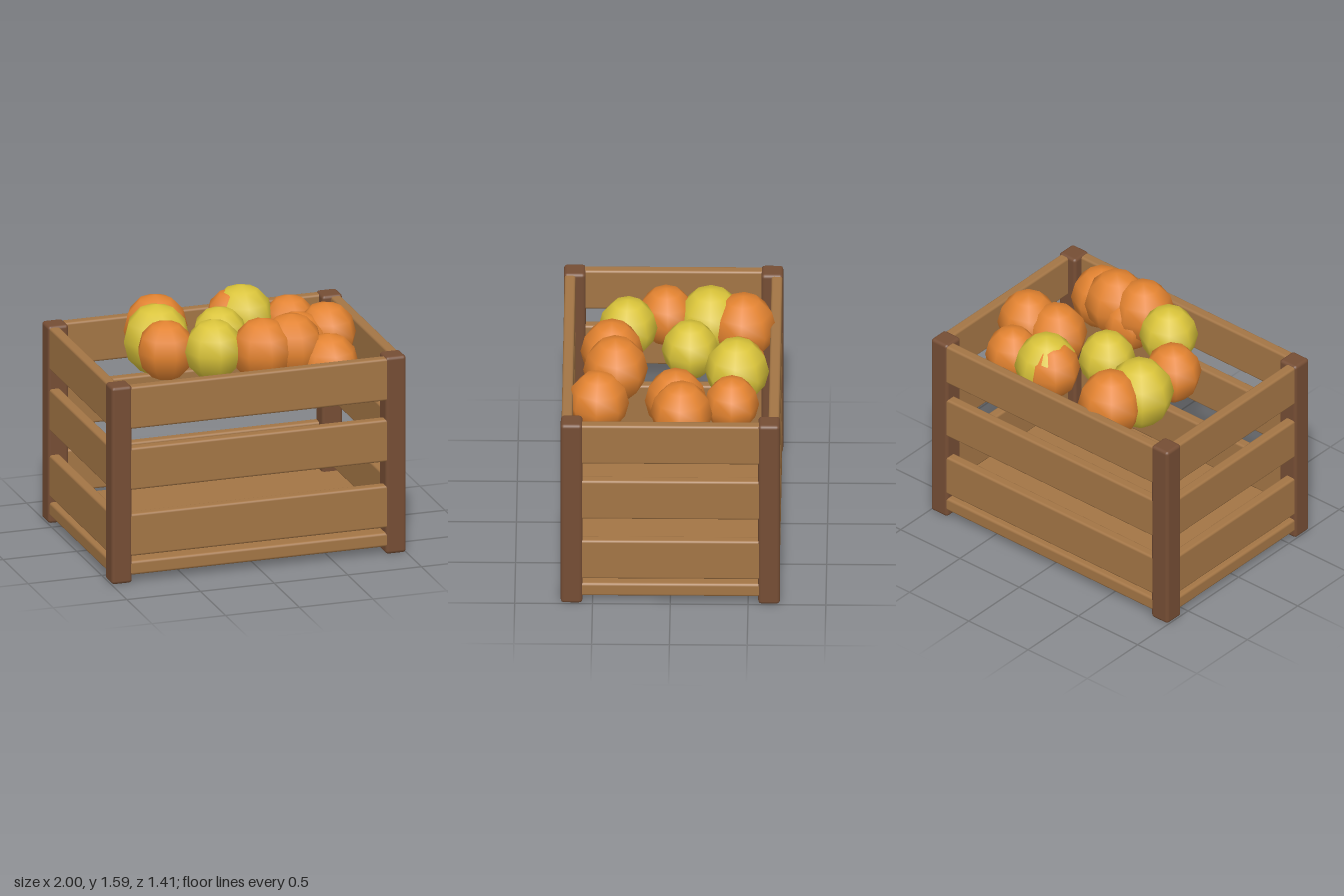
import * as THREE from 'three';
import { RoundedBoxGeometry } from 'three/addons/geometries/RoundedBoxGeometry.js';

const material = (name, color) => {
  const m = new THREE.MeshStandardMaterial({ color });
  m.name = name;
  return m;
};

export function createModel() {
  const plankWood = material('plank wood', 0xa37545);
  const postWood = material('post wood', 0x754d34);
  const orange = material('orange peel', 0xe38330);
  const yellow = material('yellow peel', 0xdac43a);

  const crate = new THREE.Group();
  crate.name = 'fruitCrate';

  // Box with softened edges, centred on (x, y, z)
  const box = (name, mat, [w, h, d], [x, y, z], radius) => {
    const mesh = new THREE.Mesh(new RoundedBoxGeometry(w, h, d, 2, radius), mat);
    mesh.name = name;
    mesh.position.set(x, y, z);
    crate.add(mesh);
  };

  // Floor
  box('floor', plankWood, [1.98, 0.095, 1.4], [0, 0.098, 0], 0.018);

  // Corner posts
  for (const sx of [-1, 1])
    for (const sz of [-1, 1])
      box('cornerPost', postWood, [0.14, 1.34, 0.14], [sx * 0.93, 0.67, sz * 0.635], 0.022);

  // Three rows of slats on all four sides
  for (const y of [0.323, 0.772, 1.187])
    for (const s of [-1, 1]) {
      box('longSlat', plankWood, [1.8, 0.287, 0.07], [0, y, s * 0.665], 0.016);
      box('endSlat', plankWood, [0.07, 0.287, 1.22], [s * 0.955, y, 0], 0.016);
    }

  // Fruit: x, height of the top, z, radius, peel
  const fruits = [
    [-0.31, 1.52, -0.455, 0.213, orange],
    [-0.375, 1.53, -0.245, 0.222, yellow],
    [-0.41, 1.515, 0.04, 0.188, orange],
    [-0.168, 1.575, 0.285, 0.19, yellow],
    [0.008, 1.51, -0.118, 0.185, yellow],
    [0.21, 1.51, -0.43, 0.185, orange],
    [0.262, 1.535, -0.42, 0.208, yellow],
    [0.575, 1.44, -0.39, 0.177, orange],
    [0.51, 1.45, -0.03, 0.2, orange],
    [0.715, 1.48, -0.068, 0.2, orange],
    [0.13, 1.585, 0.385, 0.202, orange],
    [0.335, 1.585, 0.36, 0.208, orange],
    [0.552, 1.46, 0.467, 0.198, orange],
    [0.205, 1.49, 0.34, 0.188, orange],
  ];
  const fruitGeometry = new THREE.SphereGeometry(1, 8, 6);
  const stretch = 1.06;
  fruits.forEach(([x, top, z, r, peel], i) => {
    const fruit = new THREE.Mesh(fruitGeometry, peel);
    fruit.name = peel === orange ? 'orangeFruit' : 'yellowFruit';
    fruit.scale.set(r, r * stretch, r);
    fruit.position.set(x, top - r * stretch, z);
    fruit.rotation.y = ((i % 3) - 1) * 0.06;
    crate.add(fruit);
  });

  return crate;
}
